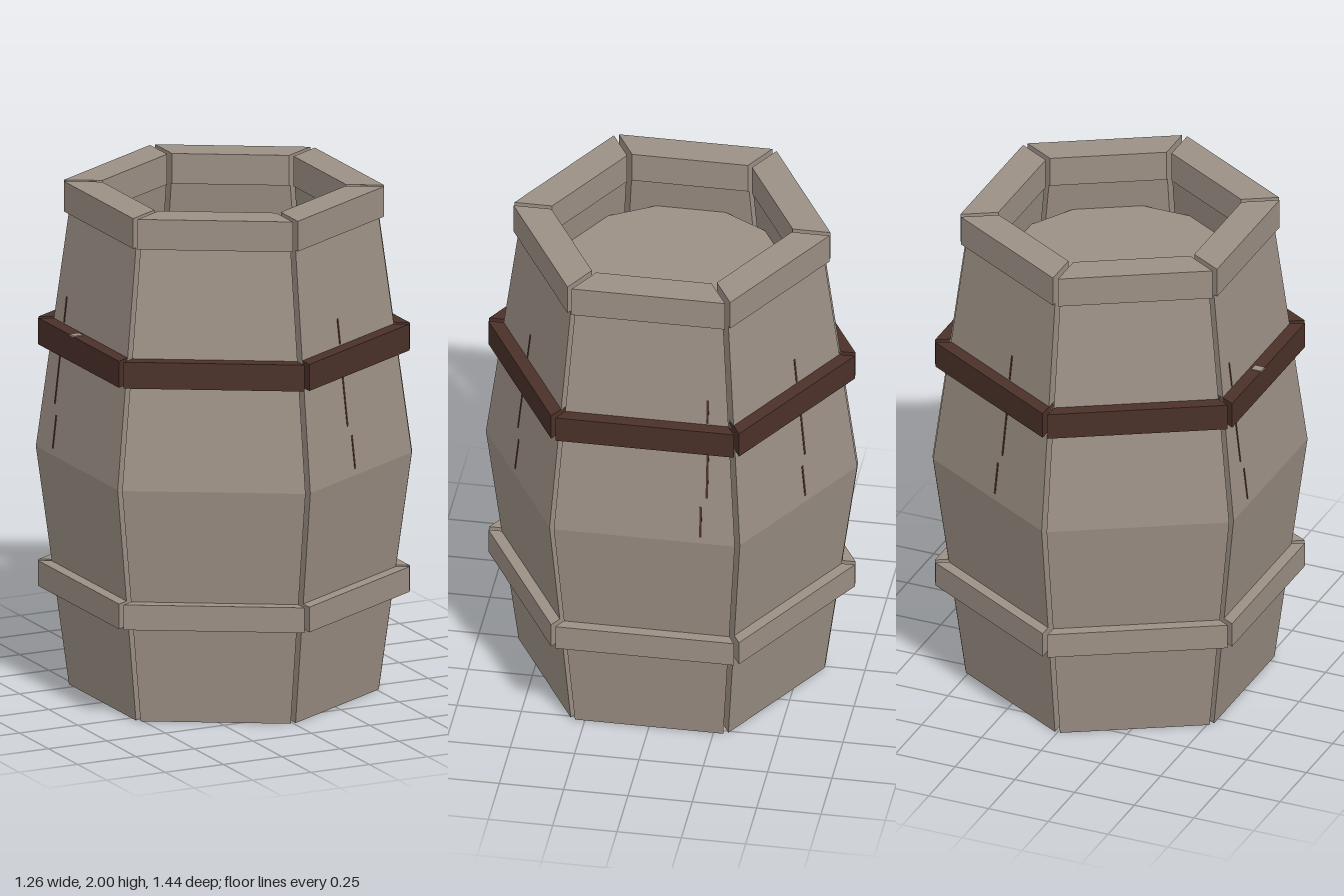
import * as THREE from 'three';

const TAN30 = Math.tan(Math.PI / 6);
const GAP = 0.012;

// Closed wedge-sided segment facing +x, from levels [y, inner distance, outer distance]
function segment(levels) {
  const rings = levels.map(([y, inner, outer]) => {
    const wi = inner * TAN30 - GAP, wo = outer * TAN30 - GAP;
    return [[outer, y, wo], [outer, y, -wo], [inner, y, -wi], [inner, y, wi]];
  });
  const pos = [];
  const quad = (a, b, c, d) => pos.push(...a, ...b, ...c, ...a, ...c, ...d);
  for (let i = 0; i < rings.length - 1; i++) {
    const lo = rings[i], hi = rings[i + 1];
    for (let k = 0; k < 4; k++) {
      const n = (k + 1) % 4;
      quad(lo[k], lo[n], hi[n], hi[k]);
    }
  }
  const bottom = rings[0], top = rings[rings.length - 1];
  quad(bottom[3], bottom[2], bottom[1], bottom[0]);
  quad(top[0], top[1], top[2], top[3]);
  const geo = new THREE.BufferGeometry();
  geo.setAttribute('position', new THREE.Float32BufferAttribute(pos, 3));
  geo.computeVertexNormals();
  return geo;
}

export function createModel() {
  const wood = new THREE.MeshStandardMaterial({ color: 0x9c9085 });
  wood.name = 'weathered wood';
  const brown = new THREE.MeshStandardMaterial({ color: 0x4b3129 });
  brown.name = 'dark brown';

  const model = new THREE.Group();
  model.name = 'barrel';
  const add = (parent, name, geo, mat) => {
    const mesh = new THREE.Mesh(geo, mat);
    mesh.name = name;
    parent.add(mesh);
    return mesh;
  };

  const staveGeo = segment([[0, 0.41, 0.52], [0.945, 0.52, 0.63], [1.89, 0.415, 0.519]]);
  const rimGeo = segment([[1.88, 0.41, 0.537], [2, 0.41, 0.537]]);
  const lowerBandGeo = segment([[0.39, 0.5, 0.622], [0.49, 0.5, 0.622]]);
  const upperBandGeo = segment([[1.35, 0.5, 0.622], [1.455, 0.5, 0.622]]);

  // Sideways position of the cracks on the staves that have them
  const crackAt = { 0: -0.235, 1: -0.062, 3: 0.23, 5: 0.055 };
  // Cracks: [bottom, top, sideways shift]
  const cracks = [[1.46, 1.56, 0], [1.14, 1.35, -0.004], [0.97, 1.1, 0.018]];
  const lean = Math.atan2(0.111, 0.945);

  for (let i = 0; i < 6; i++) {
    const side = new THREE.Group();
    side.name = 'side' + (i + 1);
    side.rotation.y = i * Math.PI / 3;
    model.add(side);
    add(side, 'stave', staveGeo, wood);
    add(side, 'rim', rimGeo, wood);
    add(side, 'lowerBand', lowerBandGeo, wood);
    add(side, 'upperBand', upperBandGeo, brown);

    // Thin cracks lying on the sloping upper face
    if (i in crackAt) {
      const flip = i === 3 || i === 5 ? 1 : -1;
      for (const [y0, y1, shift] of cracks) {
        const y = (y0 + y1) / 2;
        const crack = add(side, 'crack', new THREE.BoxGeometry(0.004, y1 - y0, 0.009), brown);
        crack.position.set(0.63 - (y - 0.945) * Math.tan(lean), y, crackAt[i] + flip * -shift);
        crack.rotation.z = lean;
      }
    }
  }

  // Worn patch on top of one upper band
  const patch = add(model, 'wornPatch', new THREE.BoxGeometry(0.04, 0.006, 0.035), wood);
  patch.position.set(-0.603, 1.456, -0.057);

  // Recessed lid and base
  const discGeo = new THREE.CylinderGeometry(0.455, 0.455, 0.09, 12).toNonIndexed();
  discGeo.computeVertexNormals();
  for (const [name, y] of [['lid', 1.715], ['base', 0.13]]) {
    const disc = add(model, name, discGeo, wood);
    disc.position.y = y;
    disc.rotation.y = Math.PI / 12;
  }
  return model;
}
